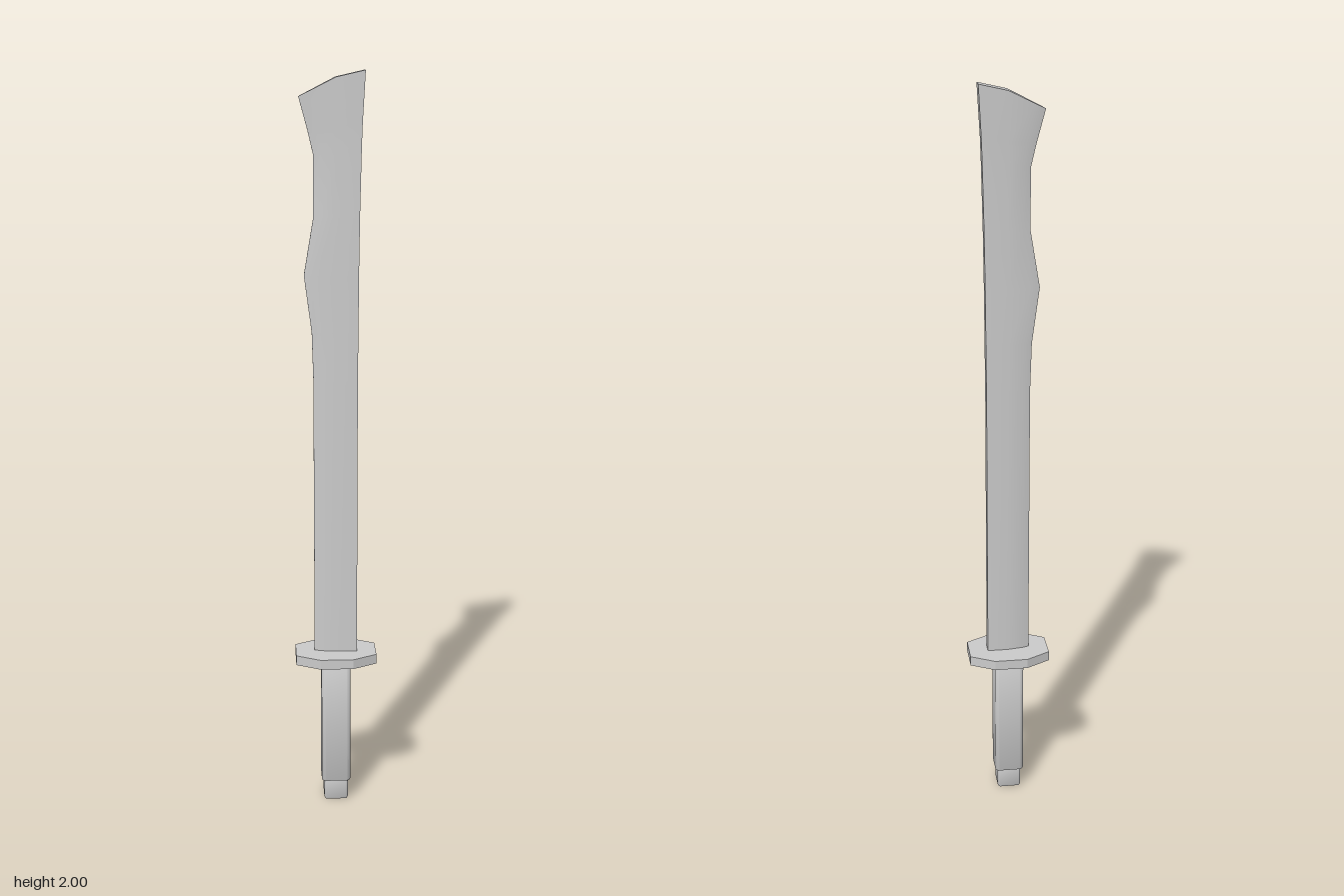
import * as THREE from 'three';
import { toCreasedNormals } from 'three/addons/utils/BufferGeometryUtils.js';

const grey = () => new THREE.MeshStandardMaterial({ color: 0xcccccc });

function add(group, name, geometry) {
  const mesh = new THREE.Mesh(toCreasedNormals(geometry, 0.5), grey());
  mesh.name = name;
  group.add(mesh);
}

// Upright prism from a ground-plane shape, spanning y0..y1 with a bevel at both ends
function prism(shape, y0, y1, bevel = 0) {
  const g = new THREE.ExtrudeGeometry(shape, {
    depth: y1 - y0 - 2 * bevel, bevelEnabled: bevel > 0, bevelSize: bevel,
    bevelThickness: bevel, bevelOffset: -bevel, bevelSegments: 2, curveSegments: 4,
  });
  return g.rotateX(-Math.PI / 2).translate(0, y0 + bevel, 0);
}

function roundedSquare(h, r) {
  const s = new THREE.Shape();
  s.absarc(h - r, h - r, r, 0, Math.PI / 2);
  s.absarc(r - h, h - r, r, Math.PI / 2, Math.PI);
  s.absarc(r - h, r - h, r, Math.PI, Math.PI * 1.5);
  s.absarc(h - r, r - h, r, Math.PI * 1.5, Math.PI * 2);
  s.closePath();
  return s;
}

// Blade lofted through cross-sections: cutting edge on -x, flat spine on +x
function bladeGeometry() {
  // [edge x, edge y, middle y, spine x, spine y, half thickness]
  const levels = [
    [-0.058, 0.43, 0.43, 0.058, 0.43, 0.015],
    [-0.059, 1.2, 1.2, 0.058, 1.2, 0.015],
    [-0.063, 1.33, 1.33, 0.059, 1.33, 0.015],
    [-0.083, 1.48, 1.48, 0.06, 1.48, 0.015],
    [-0.058, 1.63, 1.63, 0.062, 1.63, 0.015],
    [-0.058, 1.79, 1.8, 0.066, 1.81, 0.015],
    [-0.072, 1.85, 1.86, 0.068, 1.87, 0.016],
    [-0.095, 1.935, 1.983, 0.075, 2.0, 0.019],
  ];
  const pos = [], index = [], n = 8;
  for (const [ex, ey, my, sx, sy, t] of levels) {
    // half section from the edge to the spine: [x, y, z]
    const at = (f, z) => [ex * (1 - f), ey + (my - ey) * f, z * t];
    const half = [at(0, 0.15), at(0.3, 0.58), at(1, 1), [sx, sy, t]];
    for (const p of half) pos.push(...p);
    for (const [x, y, z] of half.reverse()) pos.push(x, y, -z);
  }
  for (let j = 0; j < levels.length - 1; j++) {
    for (let i = 0; i < n; i++) {
      const a = j * n + i, b = j * n + (i + 1) % n;
      index.push(a, b, b + n, a, b + n, a + n);
    }
  }
  // End caps, as strips between the two faces
  const top = (levels.length - 1) * n;
  for (let i = 0; i < 3; i++) {
    const a = i, b = i + 1, c = n - 2 - i, d = n - 1 - i;
    index.push(top + a, top + b, top + c, top + a, top + c, top + d);
    index.push(a, c, b, a, d, c);
  }
  const g = new THREE.BufferGeometry();
  g.setAttribute('position', new THREE.Float32BufferAttribute(pos, 3));
  g.setIndex(index);
  return g;
}

export function createModel() {
  const sword = new THREE.Group();
  sword.name = 'sword';

  add(sword, 'blade', bladeGeometry());

  // Elongated octagonal guard
  const guard = new THREE.Shape([
    [0.11, -0.043], [0.11, 0.043], [0.045, 0.079], [-0.045, 0.079],
    [-0.11, 0.043], [-0.11, -0.043], [-0.045, -0.079], [0.045, -0.079],
  ].map(([x, y]) => new THREE.Vector2(x, y)));
  add(sword, 'guard', prism(guard, 0.413, 0.44));

  // Grip and narrower end cap
  add(sword, 'grip', prism(roundedSquare(0.04, 0.012), 0.06, 0.42, 0.004));
  add(sword, 'pommel', prism(roundedSquare(0.033, 0.009), 0, 0.08, 0.008));
  return sword;
}
